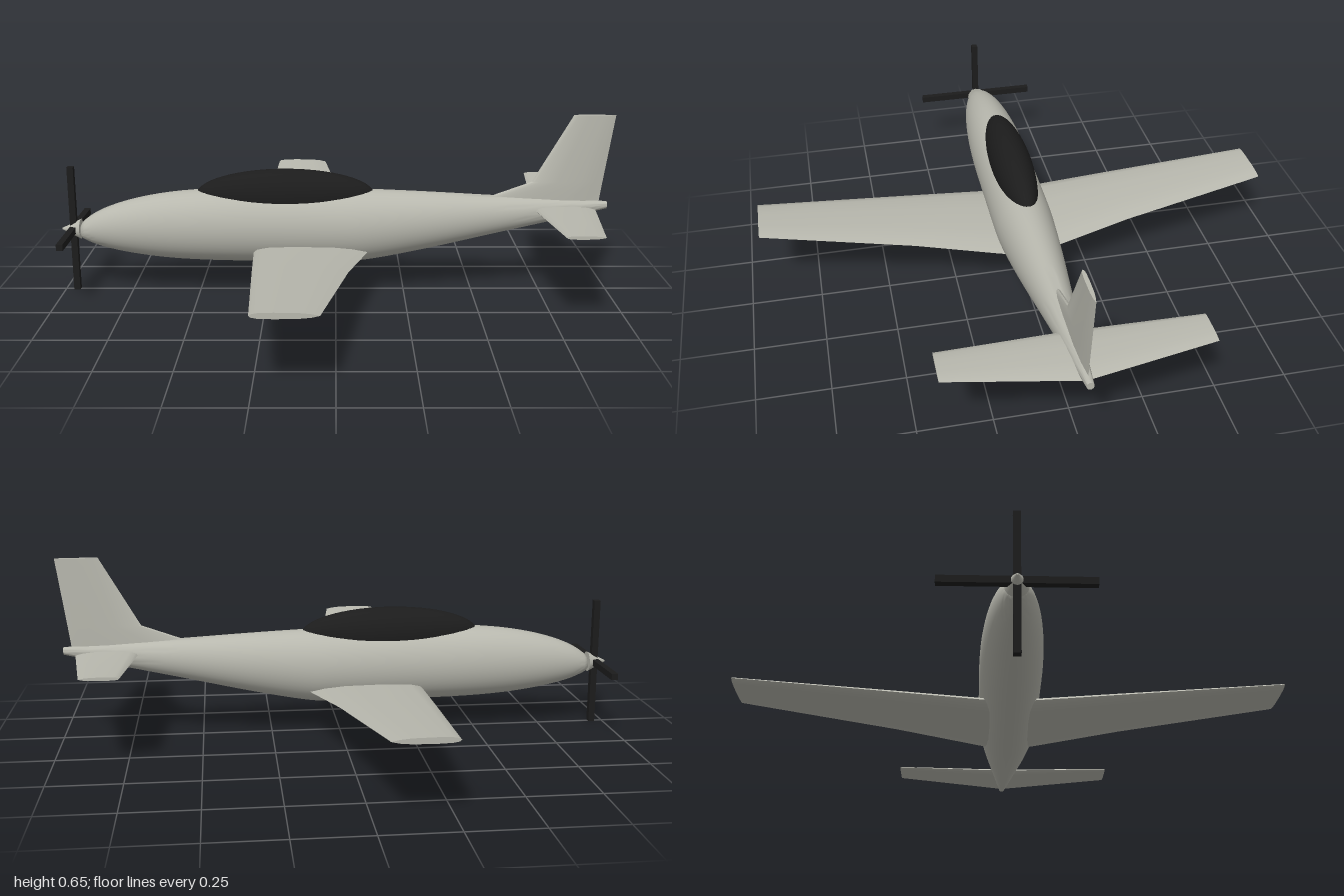
import * as THREE from 'three';
import { toCreasedNormals } from 'three/addons/utils/BufferGeometryUtils.js';

const V = (x, y, z) => new THREE.Vector3(x, y, z);

// Closed skin over a row of equal-sized rings, capped at both ends, facing outward
function loft(rings, crease = 0.6) {
  const n = rings[0].length;
  const pts = rings.flat();
  const tris = [];
  for (let r = 0; r < rings.length - 1; r++) {
    for (let i = 0; i < n; i++) {
      const a = r * n + i, b = r * n + (i + 1) % n;
      tris.push([a, b, b + n], [a, b + n, a + n]);
    }
  }
  const last = (rings.length - 1) * n;
  for (let i = 1; i < n - 1; i++) {
    tris.push([0, i + 1, i], [last, last + i, last + i + 1]);
  }
  const cross = V(0, 0, 0);
  const volume = tris.reduce((s, [a, b, c]) => s + pts[a].dot(cross.crossVectors(pts[b], pts[c])), 0);
  if (volume < 0) tris.forEach((t) => t.reverse());
  const geo = new THREE.BufferGeometry().setFromPoints(pts);
  geo.setIndex(tris.flat());
  return toCreasedNormals(geo, crease);
}

// Aerofoil outline as [chord fraction, thickness fraction]
const half = [[0.03, 0.5], [0.12, 0.85], [0.35, 1], [0.7, 0.9], [0.88, 0.55]];
const foil = [[0, 0], ...half, [1, 0], ...half.map(([c, t]) => [c, -t]).reverse()];

// Left and right panels as one span; stations are [z, front x, rear x, y, half thickness]
function span(stations) {
  const mirrored = stations.slice(1).reverse().map(([z, ...rest]) => [-z, ...rest]);
  return loft([...mirrored, ...stations].map(([z, x0, x1, y, h]) =>
    foil.map(([c, t]) => V(x0 + (x1 - x0) * c, y + t * h, z))));
}

// Fuselage: oval sections along smooth top, bottom and side lines
function fuselageGeometry() {
  const sections = [ // x, top, bottom, half width
    [-0.932, 0.245, 0.205, 0.016], [-0.915, 0.268, 0.192, 0.033], [-0.85, 0.308, 0.167, 0.056],
    [-0.74, 0.345, 0.143, 0.079], [-0.6, 0.371, 0.125, 0.095], [-0.43, 0.384, 0.116, 0.104],
    [-0.2, 0.387, 0.113, 0.105], [0.02, 0.384, 0.113, 0.105], [0.13, 0.381, 0.121, 0.1],
    [0.33, 0.372, 0.16, 0.083], [0.57, 0.359, 0.215, 0.057], [0.8, 0.347, 0.267, 0.032],
    [0.985, 0.337, 0.31, 0.012],
  ];
  const heights = new THREE.CatmullRomCurve3(sections.map((s) => V(s[0], s[1], s[2])), false, 'catmullrom');
  const widths = new THREE.CatmullRomCurve3(sections.map((s) => V(s[0], s[3], 0)), false, 'catmullrom');
  const rings = [];
  for (let i = 0; i <= 48; i++) {
    const p = heights.getPoint(i / 48), w = widths.getPoint(i / 48).y;
    const cy = (p.y + p.z) / 2, ry = (p.y - p.z) / 2;
    rings.push(Array.from({ length: 40 }, (_, k) => {
      const a = (k / 40) * Math.PI * 2;
      return V(p.x, cy + ry * Math.sin(a), w * Math.cos(a));
    }));
  }
  return loft(rings, 0.7);
}

export function createModel() {
  const model = new THREE.Group();
  model.name = 'aeroplane';
  const paint = new THREE.MeshStandardMaterial({ color: 0xb8b8ae });
  paint.name = 'light grey paint';
  const black = new THREE.MeshStandardMaterial({ color: 0x1c1c1c });
  black.name = 'black';

  const add = (name, geometry, material, parent = model) => {
    const mesh = new THREE.Mesh(geometry, material);
    mesh.name = name;
    parent.add(mesh);
    return mesh;
  };

  add('fuselage', fuselageGeometry(), paint);

  // Canopy: long bubble sunk into the fuselage
  const canopy = add('canopy', new THREE.SphereGeometry(1, 48, 32), black);
  canopy.scale.set(0.325, 0.097, 0.075);
  canopy.position.set(-0.183, 0.36, 0);

  // Wings and tailplane rise towards the tips
  add('wings', span([
    [0, -0.3, 0.13, 0.161, 0.024],
    [0.1, -0.295, 0.11, 0.17, 0.023],
    [0.4, -0.28, 0.042, 0.202, 0.018],
    [0.945, -0.25, -0.045, 0.26, 0.01],
  ]), paint);
  add('tailplane', span([
    [0, 0.72, 0.945, 0.308, 0.014],
    [0.435, 0.755, 0.885, 0.332, 0.006],
  ]), paint);

  // Fin with its long forward fillet; stations are [y, front x, rear x, half thickness]
  const finStations = [
    [0.325, 0.475, 0.955, 0.013],
    [0.41, 0.71, 0.966, 0.012],
    [0.655, 0.85, 1, 0.007],
  ];
  add('fin', loft(finStations.map(([y, x0, x1, h]) =>
    foil.map(([c, t]) => V(x0 + (x1 - x0) * c, y, t * h)))), paint);

  // Propeller: pointed spinner and four square blades in a cross
  const propeller = new THREE.Group();
  propeller.name = 'propeller';
  propeller.position.set(-0.958, 0.233, 0);
  model.add(propeller);
  const spinner = add('spinner', new THREE.CylinderGeometry(0.003, 0.037, 0.068, 16), paint, propeller);
  spinner.rotation.z = Math.PI / 2;
  spinner.position.x = -0.008;
  for (let i = 0; i < 4; i++) {
    const blade = add('blade', new THREE.BoxGeometry(0.023, 0.222, 0.023), black, propeller);
    blade.geometry.translate(0, 0.121, 0);
    blade.rotation.x = i * Math.PI / 2;
  }

  return model;
}
